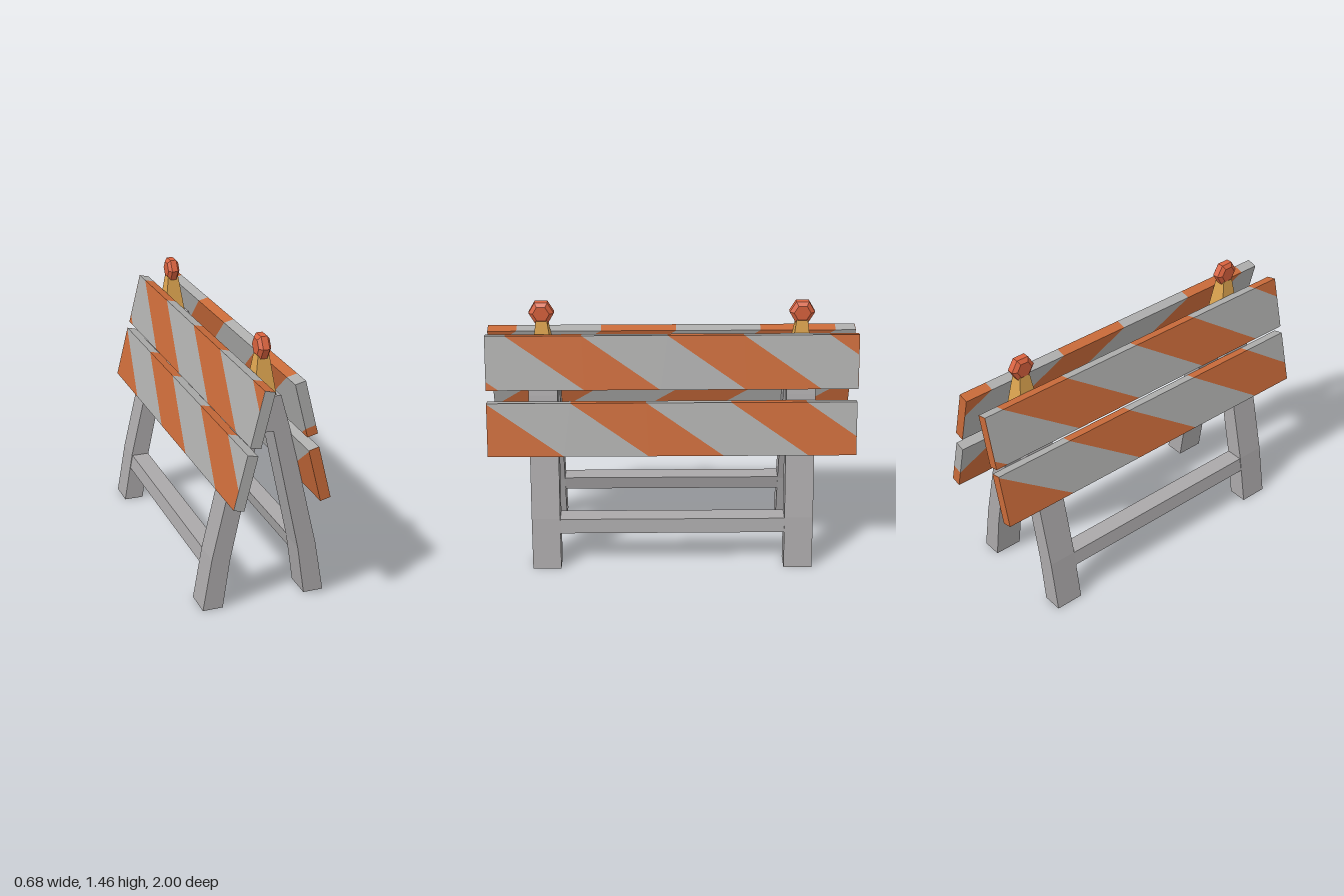
import * as THREE from 'three';

const mat = (name, color, extra = {}) => {
  const m = new THREE.MeshStandardMaterial({ color, ...extra });
  m.name = name;
  return m;
};

const polygon = pts => new THREE.Shape(pts.map(p => new THREE.Vector2(p[0], p[1])));
const extrude = (pts, depth) => new THREE.ExtrudeGeometry(polygon(pts), { depth, bevelEnabled: false });

// Keep the part of a polygon where sign * x <= sign * limit
function clip(pts, limit, sign) {
  const out = [];
  pts.forEach((a, i) => {
    const b = pts[(i + 1) % pts.length];
    const da = sign * (limit - a[0]), db = sign * (limit - b[0]);
    if (da >= 0) out.push(a);
    if (da * db < 0) {
      const t = da / (da - db);
      out.push([limit, a[1] + (b[1] - a[1]) * t]);
    }
  });
  return out;
}

// Hollow leg: drop the faces lying on the ground
function openBottom(geo) {
  const p = geo.attributes.position, keep = [];
  for (let i = 0; i < p.count; i += 3) {
    if (Math.max(p.getY(i), p.getY(i + 1), p.getY(i + 2)) < 0.001) continue;
    for (let k = i; k < i + 3; k++) keep.push(p.getX(k), p.getY(k), p.getZ(k));
  }
  const g = new THREE.BufferGeometry();
  g.setAttribute('position', new THREE.Float32BufferAttribute(keep, 3));
  g.computeVertexNormals();
  return g;
}

function flat(geo) {
  const g = geo.toNonIndexed();
  g.computeVertexNormals();
  return g;
}

export function createModel() {
  const root = new THREE.Group();
  root.name = 'roadBarricade';

  const frameGrey = mat('frame grey', 0xaaa8a9, { side: THREE.DoubleSide });
  const boardGrey = mat('board grey', 0xadadac);
  const orange = mat('stripe orange', 0xc86a39);
  const amber = mat('stand amber', 0xdda550);
  const lampRed = mat('lamp red orange', 0xd9623e);

  const add = (parent, name, geo, material) => {
    const m = new THREE.Mesh(geo, material);
    m.name = name;
    parent.add(m);
    return m;
  };

  // A-shaped trestles with kinked feet
  const half = [[0.04, 0.965], [0.19, 0.275], [0.23, 0], [0.34, 0], [0.29, 0.29], [0.13, 0.97], [0.078, 1.155]];
  const outline = [...half, ...half.map(([x, y]) => [-x, y]).reverse()];
  const legWidth = 0.157;
  for (const z of [0.698, -0.698]) {
    const name = z > 0 ? 'front' : 'back';
    add(root, name + 'Trestle', openBottom(extrude(outline, legWidth)), frameGrey).position.z = z - legWidth / 2;

    // Tapered stand with a hexagonal warning lamp
    const lamp = new THREE.Group();
    lamp.name = name + 'Lamp';
    lamp.position.z = z;
    const stand = new THREE.CylinderGeometry(0.03 * Math.SQRT2, 0.059 * Math.SQRT2, 0.205, 4);
    stand.rotateY(Math.PI / 4);
    add(lamp, 'lampStand', flat(stand), amber).position.y = 1.2575;
    const profile = [[0, -0.033], [0.045, -0.033], [0.068, -0.017], [0.068, 0.017], [0.045, 0.033], [0, 0.033]];
    const lens = new THREE.LatheGeometry(profile.map(p => new THREE.Vector2(...p)), 6);
    lens.rotateZ(Math.PI / 2);
    add(lamp, 'lampLens', flat(lens), lampRed).position.y = 1.401;
    root.add(lamp);
  }

  // Slanted rails joining the trestles
  const rail = [[0.205, 0.205], [0.302, 0.205], [0.287, 0.285], [0.19, 0.285]];
  for (const side of [1, -1]) {
    const pts = rail.map(([x, y]) => [x * side, y]);
    add(root, side > 0 ? 'leftRail' : 'rightRail', extrude(pts, 1.26), frameGrey).position.z = -0.63;
  }

  // Striped boards, cut into slanted bands
  const length = 1.996, height = 0.295, thick = 0.057, shear = 0.42, period = 0.867, width = 0.408;
  function board(name, side, x, y, phase, caps) {
    const g = new THREE.Group();
    g.name = name;
    g.rotation.set(-0.245, side * Math.PI / 2, 0, 'YXZ');
    g.position.set(x, y, side * length / 2);
    for (let k = -2; k < 4; k++) {
      const s = phase + k * period;
      for (const [a, b, m] of [[s, s + width, orange], [s + width, s + period, boardGrey]]) {
        let pts = [[a + shear, 0], [b + shear, 0], [b, height], [a, height]];
        pts = clip(clip(pts, length, 1), 0, -1);
        if (pts.length > 2) add(g, m === orange ? 'orangeBand' : 'greyBand', extrude(pts, thick), m);
      }
    }
    // Plain end caps
    caps.forEach((m, i) => {
      if (!m) return;
      const cap = add(g, 'endCap', new THREE.BoxGeometry(0.002, height, thick), m);
      cap.position.set(i ? length + 0.001 : -0.001, height / 2, thick / 2);
    });
    root.add(g);
  }
  board('leftUpperBoard', 1, 0.127, 1.009, 0.107, [null, orange]);
  board('leftLowerBoard', 1, 0.207, 0.65, 0.45, [orange, null]);
  board('rightUpperBoard', -1, -0.118, 0.985, 0.107, [orange, boardGrey]);
  board('rightLowerBoard', -1, -0.203, 0.661, 0.45, [orange, boardGrey]);

  return root;
}
